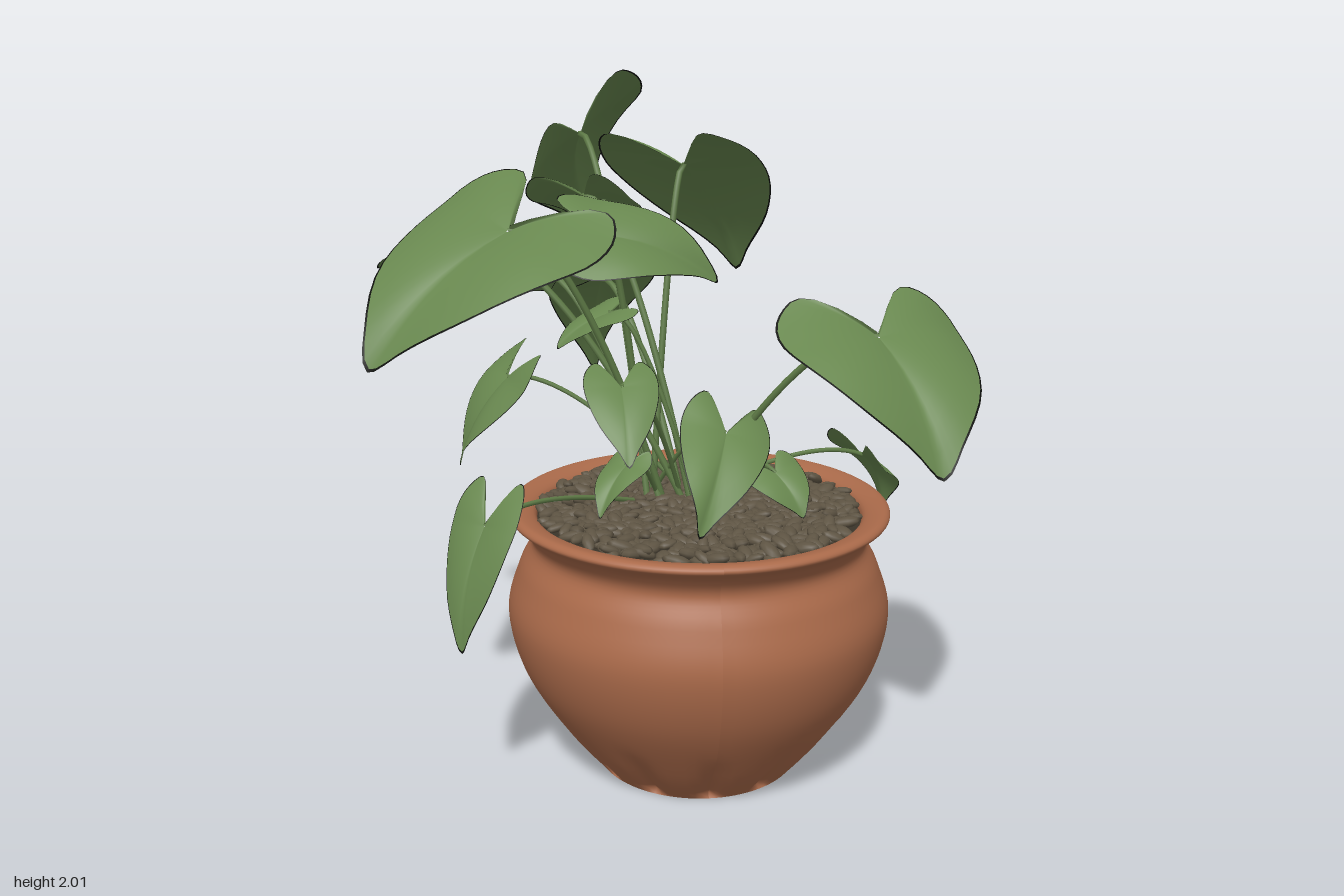
import * as THREE from 'three';
import { mergeGeometries } from 'three/addons/utils/BufferGeometryUtils.js';

const V = (x, y, z) => new THREE.Vector3(x, y, z);
const spline = (points) => new THREE.SplineCurve(points.map(([x, y]) => new THREE.Vector2(x, y)));
const POT_X = 0.11, POT_Z = 0.22;

const mat = (name, color, side = THREE.FrontSide) => {
  const m = new THREE.MeshStandardMaterial({ color, side });
  m.name = name;
  return m;
};

// Small seeded random generator
function seeded(seed) {
  return () => {
    seed = (seed * 16807) % 2147483647;
    return seed / 2147483647;
  };
}

// Heart outline, (along, across) from tip round one lobe to the notch, then mirrored
const half = [[1, 0], [0.83, 0.25], [0.53, 0.67], [0.2, 0.94], [-0.08, 1], [-0.29, 0.83], [-0.36, 0.52], [-0.02, 0.02]];
const outline = spline([...half.slice(1).reverse().map(([a, b]) => [a, -b]), ...half]);

// Leaf blade: a fan grid from the notch to the outline, rolled about the midrib, folded and drooping
function leafGeometry(notch, tip, halfWidth, rollDegrees, phase) {
  const d = tip.clone().sub(notch);
  const len = d.length();
  d.normalize();
  const side = d.clone().cross(V(0, 1, 0)).normalize().applyAxisAngle(d, -THREE.MathUtils.degToRad(rollDegrees));
  const n = side.clone().cross(d);
  const columns = 48, rings = 8;
  const g = new THREE.PlaneGeometry(1, 1, columns, rings);
  const p = g.attributes.position, uv = g.attributes.uv, o = new THREE.Vector2();
  for (let i = 0; i < p.count; i++) {
    const ring = Math.round(uv.getY(i) * rings);
    const r = ring === rings ? 1 : Math.max(0.01, (ring / (rings - 1)) * 0.982);
    outline.getPoint(uv.getX(i), o);
    const a = o.x * r, b = o.y * r;
    // arch between notch and tip, V fold, curled rim and a slight ripple
    const lift = len * 0.35 * a * (1 - a) * (a > 0 ? 1 : 0.6)
      + halfWidth * (0.3 * Math.abs(b) - 0.35 * b * b)
      + len * 0.03 * r * r * Math.sin(uv.getX(i) * 22 + phase);
    const q = notch.clone().addScaledVector(d, a * len).addScaledVector(side, b * halfWidth).addScaledVector(n, lift);
    p.setXYZ(i, q.x, q.y, q.z);
  }
  g.computeVertexNormals();
  // the outermost ring is the dark rim
  g.addGroup(0, columns * 6, 1);
  g.addGroup(columns * 6, columns * 6 * (rings - 1), 0);
  return g;
}

// Leaf list: name, notch, tip, half width, roll in degrees
const leaves = [
  ['tallBackLeaf', V(-0.2, 1.81, -0.38), V(-0.16, 1.47, -0.78), 0.24, 46],
  ['largeRightLeaf', V(-0.42, 1.59, 0.28), V(-0.79, 1.25, 0.47), 0.31, 17],
  ['upperBackLeaf', V(0.1, 1.73, -0.14), V(0.3, 1.36, -0.42), 0.26, 3],
  ['largeFrontLeaf', V(0.56, 1.32, 0.47), V(0.68, 1, 0.74), 0.29, 0],
  ['middleBackLeaf', V(-0.2, 1.64, -0.14), V(-0.05, 1.4, -0.42), 0.16, 5],
  ['backRightLeaf', V(-0.32, 1.4, -0.16), V(-0.63, 1.27, -0.25), 0.22, -18],
  ['outerRightLeaf', V(-0.52, 1.5, -0.01), V(-0.82, 1.42, -0.16), 0.16, 0],
  ['centreLeaf', V(-0.16, 1.56, 0.15), V(0.18, 1.42, 0.1), 0.18, -35],
  ['lowBackLeaf', V(-0.14, 1.36, -0.32), V(-0.15, 1, -0.65), 0.17, 12],
  ['droopingRightLeaf', V(-0.5, 0.83, 0.5), V(-0.56, 0.5, 0.58), 0.12, -8],
  ['lowRightLeaf', V(-0.44, 1.1, -0.1), V(-0.59, 0.82, -0.1), 0.13, 20],
  ['leftHangingLeaf', V(0.63, 0.87, 0.05), V(0.73, 0.67, -0.06), 0.12, -18],
  ['lowFrontLeaf', V(0.17, 1.03, 0.35), V(0.07, 0.8, 0.57), 0.13, 28],
  ['frontLeaf', V(-0.13, 1.2, 0.48), V(-0.12, 1.02, 0.64), 0.1, 0],
  ['smallLeftLeaf', V(0.3, 0.93, 0.41), V(0.37, 0.82, 0.48), 0.09, -17],
  ['smallFrontLeaf', V(-0.11, 0.94, 0.34), V(-0.19, 0.82, 0.43), 0.07, 0],
  ['smallInnerLeaf', V(-0.14, 1.33, 0.1), V(-0.29, 1.23, 0.13), 0.09, 10],
];

function buildPot(clay) {
  const pot = new THREE.Group();
  pot.name = 'pot';
  const profile = spline([[0.3, 0], [0.4, 0.125], [0.515, 0.31], [0.558, 0.48], [0.525, 0.61], [0.488, 0.69],
    [0.515, 0.745], [0.551, 0.778], [0.53, 0.795], [0.475, 0.775], [0.468, 0.72]]);
  const wall = new THREE.LatheGeometry(profile.getPoints(60), 96);
  // shallow flutes pressed into the foot
  const p = wall.attributes.position;
  for (let i = 0; i < p.count; i++) {
    const y = p.getY(i);
    if (y > 0.01 && y < 0.2) {
      const a = Math.atan2(p.getX(i), p.getZ(i));
      const k = 1 - 0.08 * Math.pow(0.5 + 0.5 * Math.cos(a * 12), 4) * (1 - y / 0.2);
      p.setX(i, p.getX(i) * k);
      p.setZ(i, p.getZ(i) * k);
    }
  }
  wall.computeVertexNormals();
  const wallMesh = new THREE.Mesh(wall, clay);
  wallMesh.name = 'potWall';
  const base = new THREE.Mesh(new THREE.CircleGeometry(0.3, 96).rotateX(Math.PI / 2), clay);
  base.name = 'potBase';
  pot.add(wallMesh, base);
  pot.position.set(POT_X, 0, POT_Z);
  return pot;
}

function buildSoil(soilMat, pebbleMat) {
  const soil = new THREE.Group();
  soil.name = 'soil';
  const bed = new THREE.Mesh(new THREE.CircleGeometry(0.475, 64).rotateX(-Math.PI / 2), soilMat);
  bed.position.y = 0.76;
  bed.name = 'soilBed';

  // pebbles laid out on a sunflower spiral with jitter
  const rnd = seeded(71), parts = [], count = 720;
  const m = new THREE.Matrix4(), q = new THREE.Quaternion(), e = new THREE.Euler();
  for (let i = 0; i < count; i++) {
    const r = 0.455 * Math.sqrt((i + 0.5) / count), a = i * 2.39996 + rnd() * 0.1;
    const s = 0.8 + rnd() * 0.4;
    e.set((rnd() - 0.5) * 0.7, rnd() * Math.PI, (rnd() - 0.5) * 0.7);
    m.compose(V(r * Math.cos(a), 0.766 + rnd() * 0.018, r * Math.sin(a)), q.setFromEuler(e), V(0.037, 0.014, 0.019).multiplyScalar(s));
    parts.push(new THREE.SphereGeometry(1, 8, 6).applyMatrix4(m));
  }
  const pebbles = new THREE.Mesh(mergeGeometries(parts), pebbleMat);
  pebbles.name = 'pebbles';
  soil.add(bed, pebbles);
  soil.position.set(POT_X, 0, POT_Z);
  return soil;
}

// Stem arching from the root cluster up and over to the leaf notch
function stemGeometry(root, end, radius) {
  const rise = end.y - root.y;
  const a = root.clone().lerp(end, 0.25).setY(root.y + rise * 0.45);
  const b = root.clone().lerp(end, 0.72).setY(end.y + 0.04 + Math.max(0, 0.3 - rise) * 0.2);
  return new THREE.TubeGeometry(new THREE.CubicBezierCurve3(root, a, b, end), 24, radius, 7);
}

export function createModel() {
  const model = new THREE.Group();
  model.name = 'pottedPlant';
  const clay = mat('terracotta', 0xaa6a4a);
  const soilMat = mat('darkSoil', 0x3a342a);
  const pebbleMat = mat('pebble', 0x5e5443);
  const leafMat = mat('leafGreen', 0x68874f, THREE.DoubleSide);
  const rimMat = mat('leafRimBlack', 0x0c0e0a, THREE.DoubleSide);
  const stemMat = mat('stemGreen', 0x5e7a46);

  model.add(buildPot(clay), buildSoil(soilMat, pebbleMat));

  const plant = new THREE.Group();
  plant.name = 'plant';
  const rnd = seeded(19);
  leaves.forEach(([name, notch, tip, halfWidth, roll], i) => {
    const leaf = new THREE.Group();
    leaf.name = name;
    const blade = new THREE.Mesh(leafGeometry(notch, tip, halfWidth, roll, i * 1.7), [leafMat, rimMat]);
    blade.name = 'blade';
    const root = V(0.04 + (rnd() - 0.5) * 0.14, 0.75, 0.12 + (rnd() - 0.5) * 0.14);
    const stem = new THREE.Mesh(stemGeometry(root, notch, halfWidth > 0.14 ? 0.01 : 0.007), stemMat);
    stem.name = 'stem';
    leaf.add(blade, stem);
    plant.add(leaf);
  });
  model.add(plant);
  return model;
}
